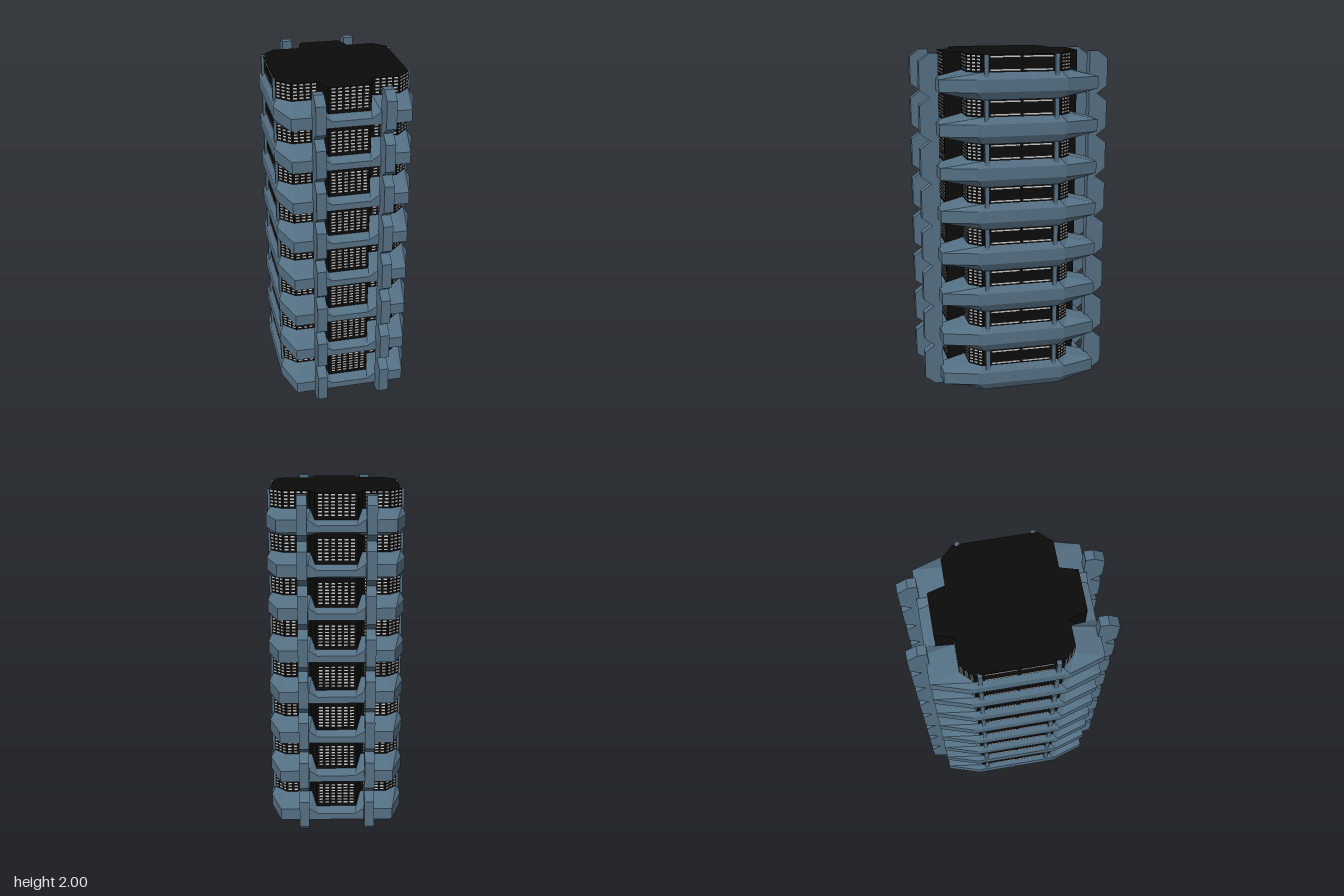
import * as THREE from 'three';
import { mergeGeometries } from 'three/addons/utils/BufferGeometryUtils.js';

const FLOORS = 8, H = 0.25;
const blue = new THREE.MeshStandardMaterial({ color: 0x557084, flatShading: true });
const black = new THREE.MeshStandardMaterial({ color: 0x0b0b0b, flatShading: true });
const light = new THREE.MeshStandardMaterial({ color: 0xcccccc });

// mirrors one quarter of a plan, points [x, z, y], into a closed loop
function mirrorQuarter(q) {
  const flip = (sx, sz) => q.map(([x, z, y]) => [x * sx, z * sz, y]);
  return [...flip(1, 1), ...flip(-1, 1).reverse(), ...flip(-1, -1), ...flip(1, -1).reverse()];
}

// skin between successive loops, from the lowest to the highest
function loft(quarters) {
  const rings = quarters.map(mirrorQuarter), pos = [];
  const put = (p) => pos.push(p[0], p[2], p[1]);
  for (let r = 0; r + 1 < rings.length; r++) {
    const lo = rings[r], hi = rings[r + 1], n = lo.length;
    for (let i = 0; i < n; i++) {
      const j = (i + 1) % n;
      [lo[i], hi[i], lo[j], lo[j], hi[i], hi[j]].forEach(put);
    }
  }
  const g = new THREE.BufferGeometry();
  g.setAttribute('position', new THREE.Float32BufferAttribute(pos, 3));
  g.computeVertexNormals();
  return g;
}

// upright prism on a mirrored plan
function prism(quarter, y0, y1) {
  const shape = new THREE.Shape(mirrorQuarter(quarter).map(([x, z]) => new THREE.Vector2(x, z)));
  const g = new THREE.ExtrudeGeometry(shape, { depth: y1 - y0, bevelEnabled: false });
  return g.rotateX(Math.PI / 2).translate(0, y1, 0);
}

// rows of short light slits on the wall from a to b
function slits(out, a, b, rows, count, fill) {
  const dx = b[0] - a[0], dz = b[1] - a[1], len = Math.hypot(dx, dz);
  for (const y of rows) for (let i = 0; i < count; i++) {
    const t = (i + 0.5) / count;
    out.push(new THREE.BoxGeometry((len / count) * fill, 0.008, 0.004)
      .rotateY(-Math.atan2(dz, dx))
      .translate(a[0] + dx * t, y, a[1] + dz * t));
  }
}

function add(parent, name, geometry, material) {
  const m = new THREE.Mesh(geometry, material);
  m.name = name;
  parent.add(m);
  return m;
}

export function createModel() {
  const model = new THREE.Group();
  model.name = 'tower';
  const body = new THREE.Group();
  body.name = 'towerBody';
  body.rotation.y = -Math.PI / 4;
  model.add(body);

  // glazed core with a bay at each end, and its footing
  const corner = [[0.304, 0.304], [0.233, 0.375]];
  add(body, 'core', prism([[0.403, 0.12], [0.304, 0.148], ...corner], 0.06, FLOORS * H), black);
  add(body, 'footing', prism(corner, 0, 0.08), black);

  // floor ring: sloped underside, upright band, sloped top dipping at the bays
  const outer = (y, dip) => [[0.466, 0.11, dip], [0.466, 0.16, y], [0.466, 0.334, y], [0.263, 0.398, y]];
  const ring = loft([
    [[0.304, 0.12, 0], [0.304, 0.148, 0], [0.304, 0.304, 0], [0.233, 0.375, 0]],
    outer(0.042, 0.042),
    outer(0.112, 0.08),
    [[0.403, 0.12, 0.1], [0.304, 0.148, 0.15], [0.304, 0.304, 0.15], [0.233, 0.375, 0.15]],
  ]);

  // buttress fin with chamfered outer corners
  const fin = new THREE.ExtrudeGeometry(
    new THREE.Shape([[0.45, 0], [0.5, 0], [0.56, 0.045], [0.56, 0.205], [0.5, 0.25], [0.45, 0.25]]
      .map(([x, y]) => new THREE.Vector2(x, y))),
    { depth: 0.057, bevelEnabled: false }).translate(0, 0, 0.163);

  // window post on the long sides
  const post = new THREE.BoxGeometry(0.025, 0.13, 0.024).translate(0.205, 0.185, 0.378);

  // lit slits for one quarter of a floor
  const parts = [];
  const fine = [0.165, 0.184, 0.203, 0.222, 0.241];
  slits(parts, [0.185, 0.375], [0.005, 0.375], [0.163, 0.237], 1, 0.95);
  slits(parts, [0.304, 0.304], [0.233, 0.375], fine, 3, 0.6);
  slits(parts, [0.304, 0.16], [0.304, 0.3], fine, 4, 0.6);
  slits(parts, [0.403, 0], [0.403, 0.11], [0.127, 0.146, ...fine], 3, 0.6);
  const slitQuarter = mergeGeometries(parts);

  for (let f = 0; f < FLOORS; f++) {
    const floor = new THREE.Group();
    floor.name = 'floor' + (f + 1);
    floor.position.y = f * H;
    body.add(floor);
    add(floor, 'floorRing', ring, blue);
    for (const sx of [1, -1]) for (const sz of [1, -1]) {
      add(floor, 'fin', fin, blue).scale.set(sx, 1, sz);
      add(floor, 'windowPost', post, blue).scale.set(sx, 1, sz);
      add(floor, 'windowSlits', slitQuarter, light).scale.set(sx, 1, sz);
    }
  }
  return model;
}
